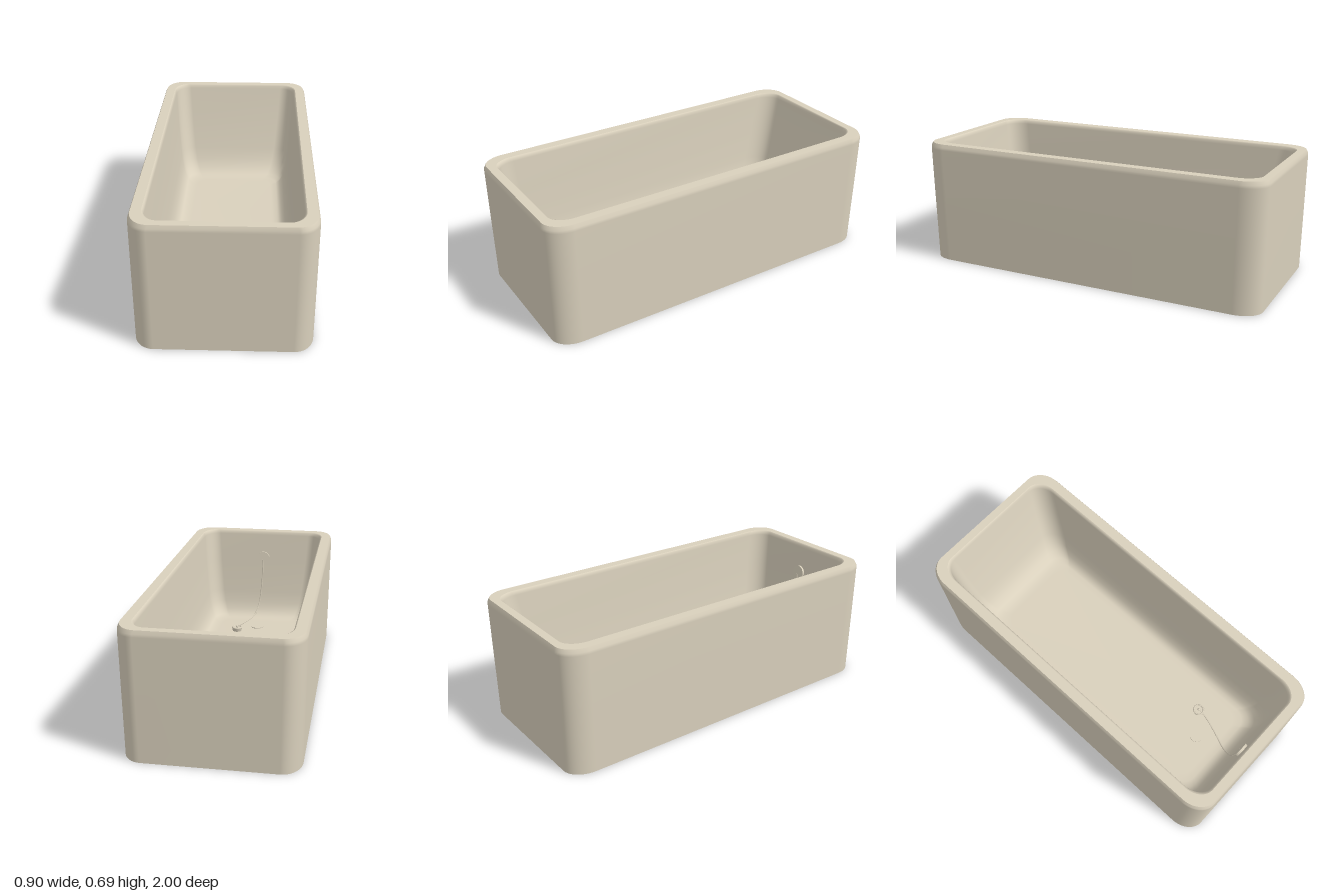
import * as THREE from 'three';

const enamel = new THREE.MeshStandardMaterial({ color: 0xd9d0bc, side: THREE.DoubleSide });
enamel.name = 'cream enamel';

// Rounded rectangle: half width, back z, front z, corner radii in x and z
function ring(hx, zb, zf, rx, rz, n = 10) {
  const pts = [];
  const corners = [[hx - rx, zf - rz], [-hx + rx, zf - rz], [-hx + rx, zb + rz], [hx - rx, zb + rz]];
  corners.forEach(([cx, cz], q) => {
    for (let i = 0; i <= n; i++) {
      const t = (q + i / n) * Math.PI / 2;
      pts.push([cx + rx * Math.cos(t), cz + rz * Math.sin(t)]);
    }
  });
  return pts;
}

// Skin over a stack of rings, each level [halfWidth, back, front, rx, rz, y]
function loft(levels) {
  const pos = [], idx = [];
  let n = 0;
  for (const [hx, zb, zf, rx, rz, y] of levels) {
    const pts = ring(hx, zb, zf, rx, rz);
    n = pts.length;
    for (const [x, z] of pts) pos.push(x, y, z);
  }
  for (let i = 0; i < levels.length - 1; i++) {
    for (let j = 0; j < n; j++) {
      const k = (j + 1) % n;
      const a = i * n + j, b = i * n + k;
      idx.push(a, a + n, b, b, a + n, b + n);
    }
  }
  const g = new THREE.BufferGeometry();
  g.setAttribute('position', new THREE.Float32BufferAttribute(pos, 3));
  g.setIndex(idx);
  g.computeVertexNormals();
  return g;
}

export function createModel() {
  const group = new THREE.Group();
  group.name = 'bathtub';
  const add = (name, geometry, x = 0, y = 0, z = 0) => {
    const mesh = new THREE.Mesh(geometry, enamel);
    mesh.name = name;
    mesh.position.set(x, y, z);
    group.add(mesh);
    return mesh;
  };

  // Outer apron, open underneath
  add('apron', loft([
    [0.443, -0.993, 0.993, 0.1, 0.13, 0],
    [0.447, -0.997, 0.997, 0.1, 0.13, 0.35],
    [0.45, -1, 1, 0.1, 0.13, 0.655],
    [0.448, -0.999, 0.999, 0.1, 0.13, 0.67],
    [0.44, -0.992, 0.992, 0.1, 0.125, 0.688],
  ]));

  // Flat top rim
  add('rim', loft([
    [0.44, -0.992, 0.992, 0.1, 0.125, 0.688],
    [0.388, -0.95, 0.947, 0.085, 0.11, 0.688],
  ]));

  // Basin: rolled lip, sloping walls, coved floor
  add('basin', loft([
    [0.388, -0.95, 0.947, 0.085, 0.11, 0.688],
    [0.381, -0.944, 0.94, 0.085, 0.11, 0.683],
    [0.377, -0.94, 0.935, 0.085, 0.11, 0.665],
    [0.365, -0.9, 0.918, 0.085, 0.11, 0.48],
    [0.346, -0.845, 0.893, 0.085, 0.11, 0.28],
    [0.335, -0.82, 0.878, 0.085, 0.1, 0.21],
    [0.32, -0.79, 0.86, 0.085, 0.1, 0.16],
    [0.3, -0.755, 0.83, 0.08, 0.09, 0.13],
    [0.275, -0.72, 0.8, 0.075, 0.08, 0.12],
    [0.24, -0.68, 0.76, 0.07, 0.07, 0.118],
    [0, 0, 0, 0, 0, 0.116],
  ]));

  // Drain flush with the floor
  add('drain', new THREE.CylinderGeometry(0.04, 0.04, 0.008, 32), 0, 0.118, 0.65);

  // Overflow plate on the front end wall
  const overflow = add('overflowPlate', new THREE.CylinderGeometry(0.042, 0.042, 0.014, 32), 0, 0.51, 0.914);
  overflow.rotation.x = Math.PI / 2 + 0.11;

  // Plug with raised edge and knob, lying beside the drain
  add('plug', new THREE.CylinderGeometry(0.033, 0.028, 0.022, 32), 0.12, 0.128, 0.56);
  add('plugEdge', new THREE.TorusGeometry(0.028, 0.005, 8, 32).rotateX(Math.PI / 2), 0.12, 0.139, 0.56);
  add('plugKnob', new THREE.SphereGeometry(0.008, 12, 8), 0.12, 0.144, 0.56);

  // Chain from overflow to plug
  const path = new THREE.CatmullRomCurve3([
    [0, 0.5, 0.904], [0.005, 0.34, 0.893], [0.02, 0.2, 0.868], [0.04, 0.142, 0.815],
    [0.065, 0.127, 0.76], [0.1, 0.126, 0.67], [0.117, 0.135, 0.605], [0.12, 0.147, 0.56],
  ].map(p => new THREE.Vector3(...p)));
  add('chain', new THREE.TubeGeometry(path, 60, 0.004, 6));

  return group;
}
